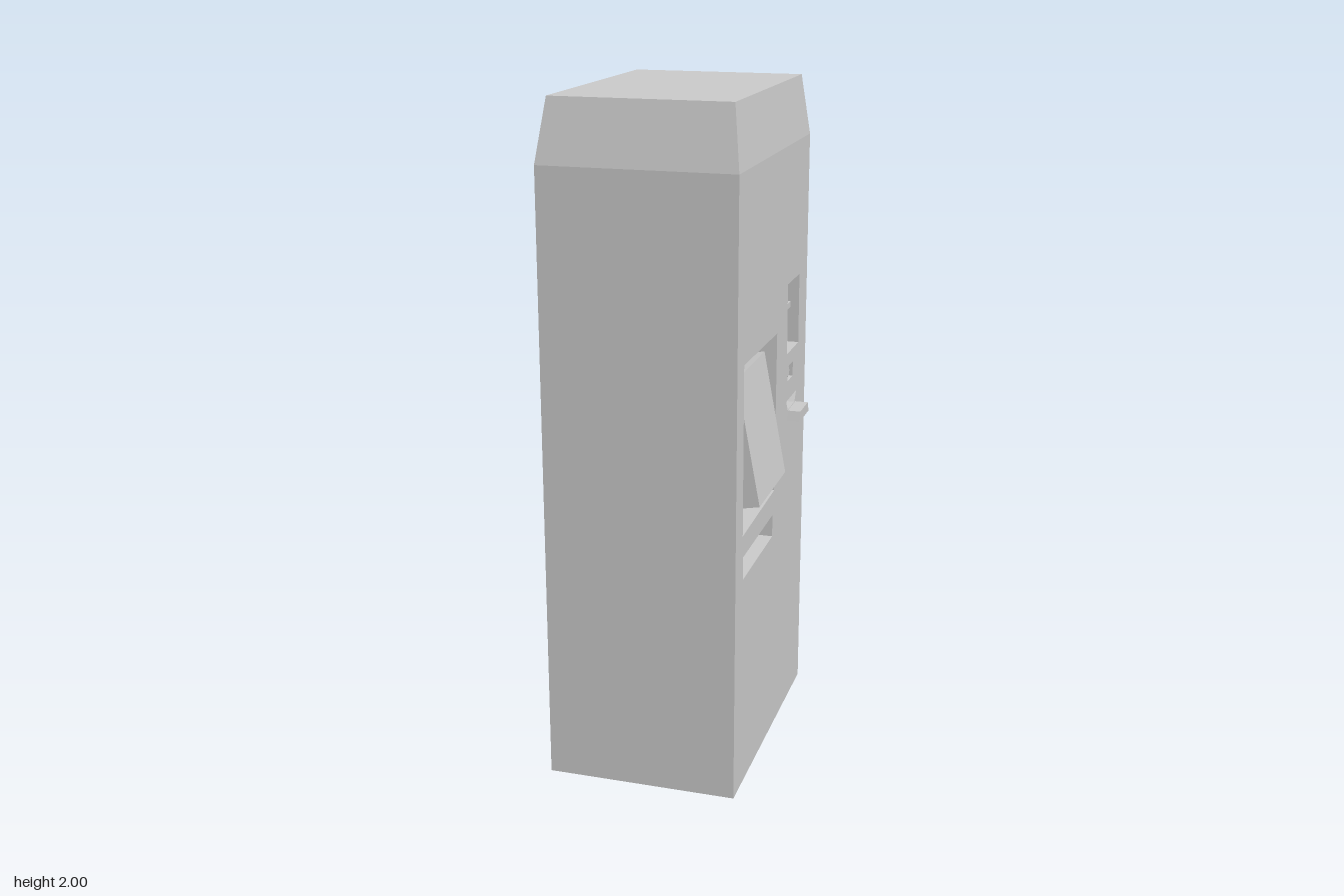
import * as THREE from 'three';

const material = new THREE.MeshStandardMaterial({ color: 0xcccccc, flatShading: true });

// Geometry from four-cornered faces, corners counter-clockwise seen from outside
function quads(list) {
  const pos = [];
  for (const [a, b, c, d] of list) pos.push(...a, ...b, ...c, ...a, ...c, ...d);
  const g = new THREE.BufferGeometry();
  g.setAttribute('position', new THREE.Float32BufferAttribute(pos, 3));
  g.computeVertexNormals();
  return g;
}

function add(parent, name, geometry, x = 0, y = 0, z = 0) {
  const m = new THREE.Mesh(geometry, material);
  m.name = name;
  m.position.set(x, y, z);
  parent.add(m);
  return m;
}

// Box spanning u0..u1, v0..v1, w0..w1 in the fascia frame
function block(parent, name, u0, u1, v0, v1, w0, w1) {
  return add(parent, name, new THREE.BoxGeometry(u1 - u0, v1 - v0, w1 - w0),
    (u0 + u1) / 2, (v0 + v1) / 2, (w0 + w1) / 2);
}

const toShape = pts => new THREE.Shape(pts.map(p => new THREE.Vector2(...p)));

// Recesses in the fascia: outline counter-clockwise, and depth
const recesses = [
  ['screenRecess', 0.1, [[-0.342, 0.792], [0.029, 0.8], [0.034, 1.287], [-0.346, 1.292]]],
  ['dispenserSlot', 0.05, [[-0.336, 0.657], [0.013, 0.657], [0.013, 0.726], [-0.336, 0.726]]],
  ['billRecess', 0.06, [[0.167, 1.189], [0.318, 1.189], [0.315, 1.406], [0.161, 1.406]]],
  ['coinRecess', 0.03, [[0.18, 1.1], [0.248, 1.1], [0.248, 1.146], [0.18, 1.146]]],
  ['trayRecess', 0.05, [[0.19, 1.006], [0.28, 1.006], [0.302, 1.038], [0.168, 1.038]]],
];

export function createModel() {
  const model = new THREE.Group();
  model.name = 'ticketMachine';

  // Cabinet shell with a tapered top, open where the fascia sits
  const ring = (x0, x1, z0, z1, y) => [[x0, y, z1], [x1, y, z1], [x1, y, z0], [x0, y, z0]];
  const rings = [
    ring(-0.305, 0.262, -0.42, 0.417, 0),
    ring(-0.305, 0.262, -0.42, 0.417, 1.82),
    ring(-0.28, 0.24, -0.385, 0.381, 2),
  ];
  const faces = [rings[2], [...rings[0]].reverse()];
  for (let r = 0; r < 2; r++) {
    for (let i = 0; i < 4; i++) {
      if (r === 0 && i === 1) continue;
      const j = (i + 1) % 4;
      faces.push([rings[r][i], rings[r][j], rings[r + 1][j], rings[r + 1][i]]);
    }
  }
  add(model, 'cabinet', quads(faces));

  // Fascia frame: u runs toward the back, v up, w outward from the side
  const fascia = new THREE.Group();
  fascia.name = 'fascia';
  fascia.rotation.y = Math.PI / 2;
  fascia.position.x = 0.262;
  model.add(fascia);

  const plate = toShape([[-0.417, 0], [0.42, 0], [0.42, 1.82], [-0.417, 1.82]]);
  for (const [name, depth, pts] of recesses) {
    plate.holes.push(toShape(pts));
    const front = pts.map(p => [...p, 0]);
    const back = pts.map(p => [...p, -depth]);
    const sides = pts.map((_, i) => {
      const j = (i + 1) % 4;
      return [front[i], front[j], back[j], back[i]];
    });
    add(fascia, name, quads([...sides, back]));
  }
  add(fascia, 'fasciaPlate', new THREE.ShapeGeometry(plate));

  // Screen leaning back out of its recess
  const screen = add(fascia, 'screen',
    new THREE.BoxGeometry(0.31, 0.373, 0.1).translate(0, 0.1865, -0.05), -0.156, 0.873, 0.04);
  screen.rotation.x = -0.186;

  // Bill reader with a small lip
  block(fascia, 'billReader', 0.196, 0.284, 1.215, 1.342, -0.06, -0.03);
  block(fascia, 'billLip', 0.207, 0.266, 1.313, 1.33, -0.03, -0.015);

  // Coin entry
  const knob = add(fascia, 'coinEntry', new THREE.CylinderGeometry(0.017, 0.017, 0.025, 8), 0.209, 1.123, -0.018);
  knob.rotation.x = Math.PI / 2;

  // Flared lip below the return tray
  const lip = toShape([[0.182, 0.973], [0.308, 0.973], [0.293, 1.004], [0.19, 1.004]]);
  add(fascia, 'trayLip', new THREE.ExtrudeGeometry(lip, { depth: 0.04, bevelEnabled: false }));

  return model;
}
